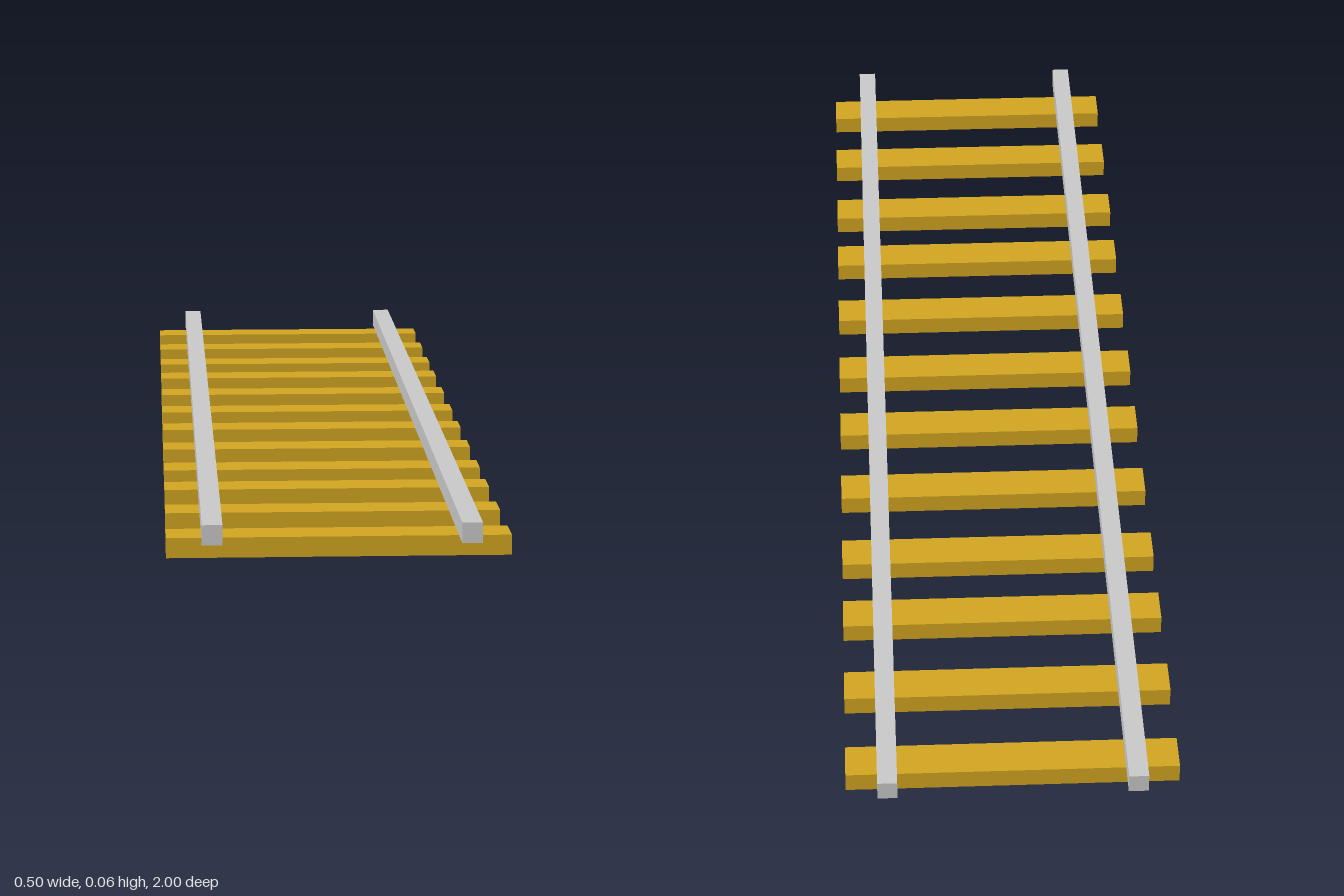
import * as THREE from 'three';

const wood = new THREE.MeshStandardMaterial({ color: 0xd4a721 });
const metal = new THREE.MeshStandardMaterial({ color: 0xcccccc });

function box(name, material, size, position) {
  const mesh = new THREE.Mesh(new THREE.BoxGeometry(...size), material);
  mesh.name = name;
  mesh.position.set(...position);
  return mesh;
}

export function createModel() {
  const track = new THREE.Group();
  track.name = 'railwayTrack';

  // Wooden sleepers, mirrored front to back
  const sleepers = new THREE.Group();
  sleepers.name = 'sleepers';
  for (const z of [0.081, 0.252, 0.423, 0.575, 0.746, 0.917]) {
    for (const side of [1, -1]) {
      sleepers.add(box('sleeper', wood, [0.505, 0.03, 0.062], [0, 0.015, side * z]));
    }
  }
  track.add(sleepers);

  // Square rails resting on the sleepers
  track.add(box('leftRail', metal, [0.03, 0.03, 2], [0.19, 0.045, 0]));
  track.add(box('rightRail', metal, [0.03, 0.03, 2], [-0.186, 0.045, 0]));

  return track;
}
